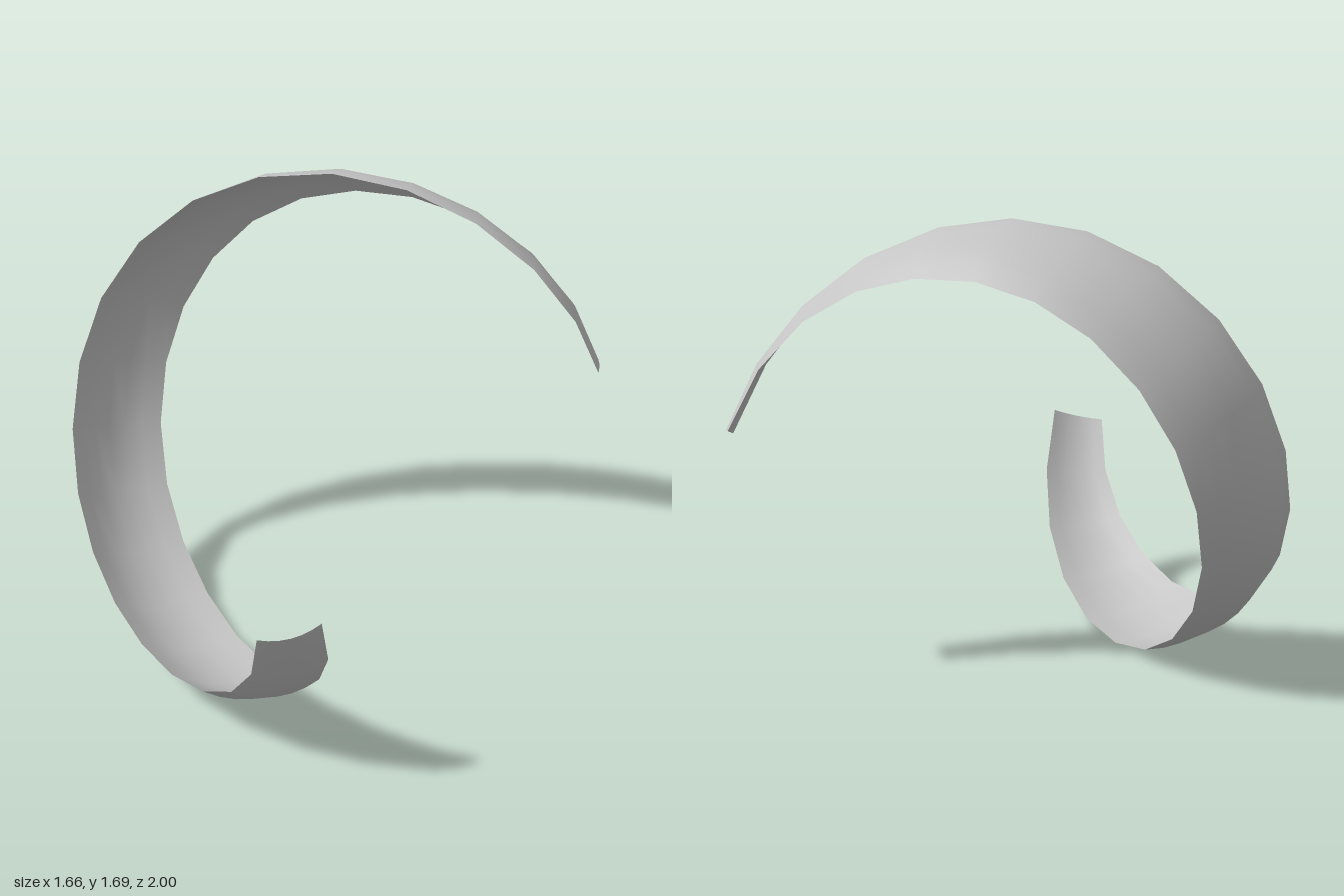
import * as THREE from 'three';

const CENTRE_Y = 0.8425; // height of the coil's axis, which runs along z
const STEPS = 20;        // segments along the ribbon
const ACROSS = 6;        // segments across the ribbon
const BULGE = 0.12;      // outward bow of the cross-section, relative to width

// Edge keys: angle around the axis (degrees), radius, z
const frontKeys = [
  [-12.6, 0.697, 1.0], [-83.6, 0.715, 0.73], [-149.8, 0.775, 0.395],
  [-218, 0.843, 0], [-286.6, 0.842, -0.43], [-355.3, 0.823, -0.905],
];
const rearKeys = [
  [-7.4, 0.832, 0.855], [-74, 0.845, 0.37], [-139, 0.79, -0.035],
  [-207.1, 0.719, -0.4], [-277.7, 0.669, -0.7], [-352, 0.737, -1.0],
];

// Smooth edge curve in polar form, returned as a function of t in 0..1
function makeEdge(keys) {
  const polar = new THREE.CatmullRomCurve3(
    keys.map((k) => new THREE.Vector3(...k)), false, 'catmullrom', 0.5);
  return (t) => {
    const p = polar.getPoint(t);
    const a = THREE.MathUtils.degToRad(p.x);
    return new THREE.Vector3(p.y * Math.cos(a), CENTRE_Y + p.y * Math.sin(a), p.z);
  };
}

// Twisted ribbon: a bowed cross-section swept between the two edges
function ribbonGeometry() {
  const front = makeEdge(frontKeys);
  const rear = makeEdge(rearKeys);
  const middle = (t) => front(t).add(rear(t)).multiplyScalar(0.5);
  const positions = [];
  const indices = [];

  for (let i = 0; i <= STEPS; i++) {
    const t = i / STEPS;
    const f = front(t);
    const r = rear(t);
    const chord = r.clone().sub(f);
    const tangent = middle(Math.min(1, t + 0.01)).sub(middle(Math.max(0, t - 0.01)));
    const outward = tangent.cross(chord).normalize();
    for (let j = 0; j <= ACROSS; j++) {
      const s = j / ACROSS;
      const p = f.clone().lerp(r, s)
        .addScaledVector(outward, 4 * s * (1 - s) * BULGE * chord.length());
      positions.push(p.x, p.y, p.z);
    }
  }

  const row = ACROSS + 1;
  for (let i = 0; i < STEPS; i++) {
    for (let j = 0; j < ACROSS; j++) {
      const a = i * row + j;
      indices.push(a, a + row, a + 1, a + 1, a + row, a + row + 1);
    }
  }

  const geometry = new THREE.BufferGeometry();
  geometry.setAttribute('position', new THREE.Float32BufferAttribute(positions, 3));
  geometry.setIndex(indices);
  geometry.computeVertexNormals();
  return geometry;
}

export function createModel() {
  const grey = new THREE.MeshStandardMaterial({ color: 0xc4c4c4, side: THREE.DoubleSide });
  grey.name = 'light grey';

  const ribbon = new THREE.Mesh(ribbonGeometry(), grey);
  ribbon.name = 'spiralRibbon';

  const group = new THREE.Group();
  group.name = 'ribbonCoil';
  group.add(ribbon);
  return group;
}
